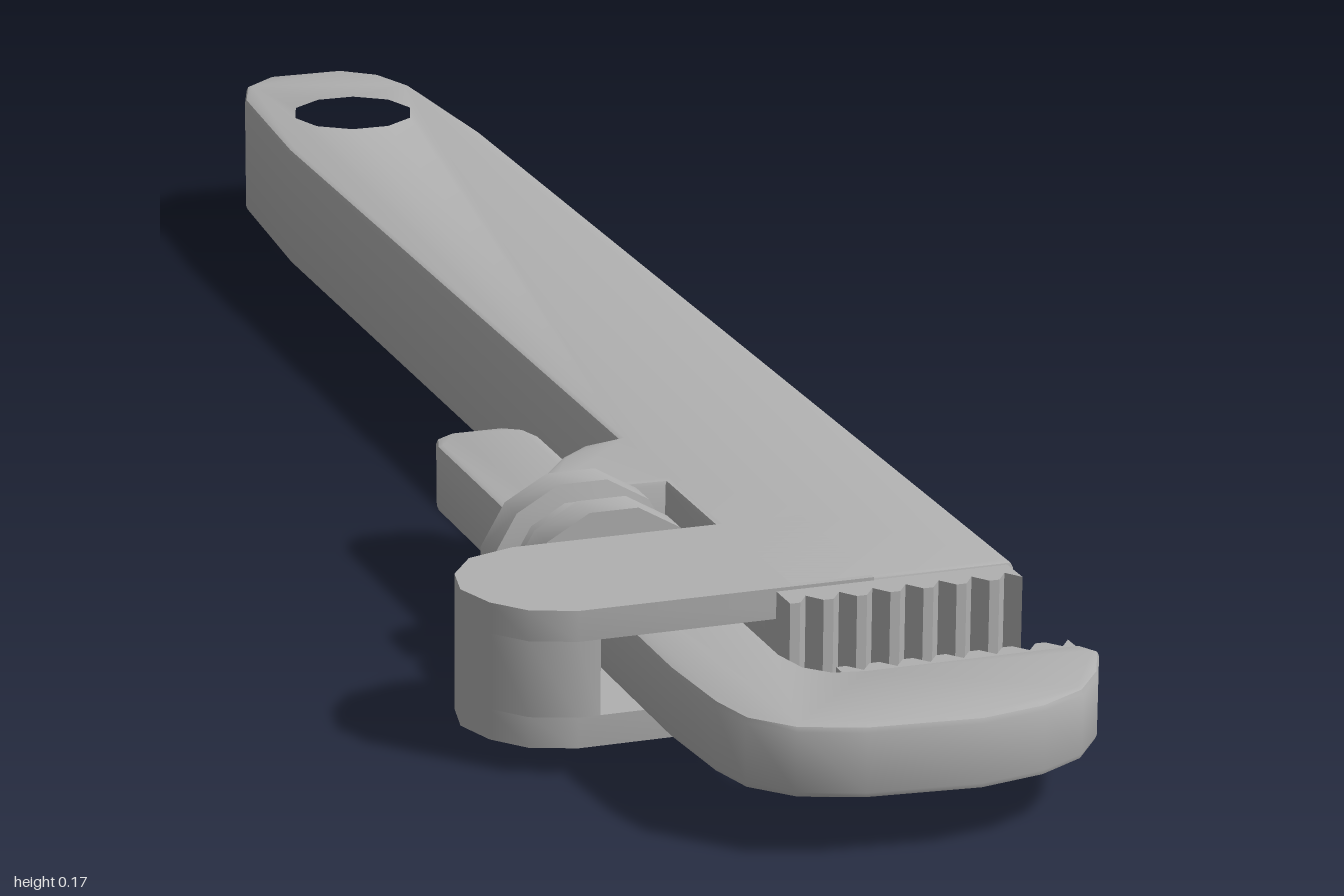
import * as THREE from 'three';
import { toCreasedNormals } from 'three/addons/utils/BufferGeometryUtils.js';

const steel = new THREE.MeshStandardMaterial({ color: 0xb0b0b0 });
steel.name = 'steel grey';

// Plan outline of [x, z] points, raised from y0 to y1, with optional edge bevel and round hole.
function slab(name, points, y0, y1, bevel = 0, hole = null) {
  const shape = new THREE.Shape(points.map(([x, z]) => new THREE.Vector2(x, -z)));
  if (hole) {
    const path = new THREE.Path();
    path.absarc(hole.x, -hole.z, hole.r, 0, Math.PI * 2, true);
    shape.holes.push(path);
  }
  const geometry = new THREE.ExtrudeGeometry(shape, {
    depth: y1 - y0 - 2 * bevel,
    bevelEnabled: bevel > 0,
    bevelThickness: bevel,
    bevelSize: bevel,
    bevelOffset: -bevel,
    bevelSegments: 2,
    curveSegments: 5,
  });
  geometry.translate(0, 0, y0 + bevel);
  geometry.rotateX(-Math.PI / 2);
  const mesh = new THREE.Mesh(toCreasedNormals(geometry, 0.7), steel);
  mesh.name = name;
  return mesh;
}

// Strip with a row of teeth along x; tipZ is the tooth tip, rootZ the valley, backZ the buried side.
function teeth(name, x0, x1, backZ, rootZ, tipZ, y0, y1, count) {
  const points = [[x0, backZ]];
  const pitch = (x1 - x0) / count;
  for (let i = 0; i < count; i++) {
    const x = x0 + i * pitch;
    points.push([x, tipZ], [x + pitch * 0.3, tipZ], [x + pitch * 0.65, rootZ]);
  }
  points.push([x1, tipZ], [x1, backZ]);
  return slab(name, points, y0, y1);
}

export function createModel() {
  const wrench = new THREE.Group();
  wrench.name = 'pipeWrench';
  const bottom = 0.025, top = 0.15;

  // Handle with hanging hole and the shoulder behind the adjusting nut
  wrench.add(slab('handle', [
    [0.02, 0.725], [0.02, 0.42], [-0.095, 0.415], [-0.087, 0.38], [-0.045, 0.325],
    [-0.015, 0.3], [0.02, 0.29], [0.02, -0.72], [0.033, -0.92], [0.05, -0.97],
    [0.085, -1], [0.165, -1], [0.2, -0.97], [0.217, -0.92], [0.23, -0.72], [0.23, 0.725],
  ], bottom, top, 0.006, { x: 0.125, z: -0.83, r: 0.07 }));

  // Head: two cheeks joined by a rounded end, leaving a slot for the hook shank
  const roundEnd = [[-0.17, 0.725], [-0.21, 0.71], [-0.235, 0.68], [-0.248, 0.64],
    [-0.24, 0.6], [-0.215, 0.565], [-0.17, 0.55]];
  const cheek = [[0.1, 0.725], ...roundEnd, [0.1, 0.55]];
  wrench.add(slab('upperCheek', cheek, 0.122, top));
  wrench.add(slab('lowerCheek', cheek, bottom, 0.053));
  wrench.add(slab('headEnd', [[-0.15, 0.725], ...roundEnd, [-0.15, 0.55]], 0.053, 0.122));

  // Fixed jaw
  wrench.add(teeth('fixedJawTeeth', 0.01, 0.225, 0.7, 0.743, 0.758, 0.03, 0.147, 7));

  // Sliding hook jaw and its shank
  wrench.add(slab('hookJaw', [
    [-0.115, 0.8], [-0.115, 0.175], [-0.108, 0.152], [-0.09, 0.14], [-0.04, 0.14],
    [-0.022, 0.152], [-0.015, 0.175], [-0.015, 0.8], [-0.007, 0.835], [0.012, 0.855],
    [0.04, 0.86], [0.235, 0.86], [0.245, 0.88], [0.225, 0.925], [0.195, 0.963],
    [0.15, 0.988], [0.09, 1], [-0.01, 0.99], [-0.065, 0.97], [-0.097, 0.935], [-0.108, 0.89],
  ], 0.055, 0.12, 0.006));
  wrench.add(teeth('hookJawTeeth', 0.022, 0.235, 0.875, 0.85, 0.836, 0.06, 0.115, 7));

  // Adjusting nut: two flanges with a groove between
  const flange = 0.088, groove = 0.071;
  const profile = [[0, 0.425], [flange, 0.425], [flange, 0.458], [groove, 0.462],
    [groove, 0.502], [flange, 0.506], [flange, 0.54], [0, 0.54]];
  const nutGeometry = new THREE.LatheGeometry(profile.map(([r, z]) => new THREE.Vector2(r, z)), 12);
  nutGeometry.rotateY(Math.PI / 12);
  nutGeometry.rotateX(Math.PI / 2);
  const nut = new THREE.Mesh(toCreasedNormals(nutGeometry, 0.7), steel);
  nut.name = 'adjustingNut';
  nut.position.set(-0.072, 0.085, 0);
  wrench.add(nut);

  return wrench;
}
